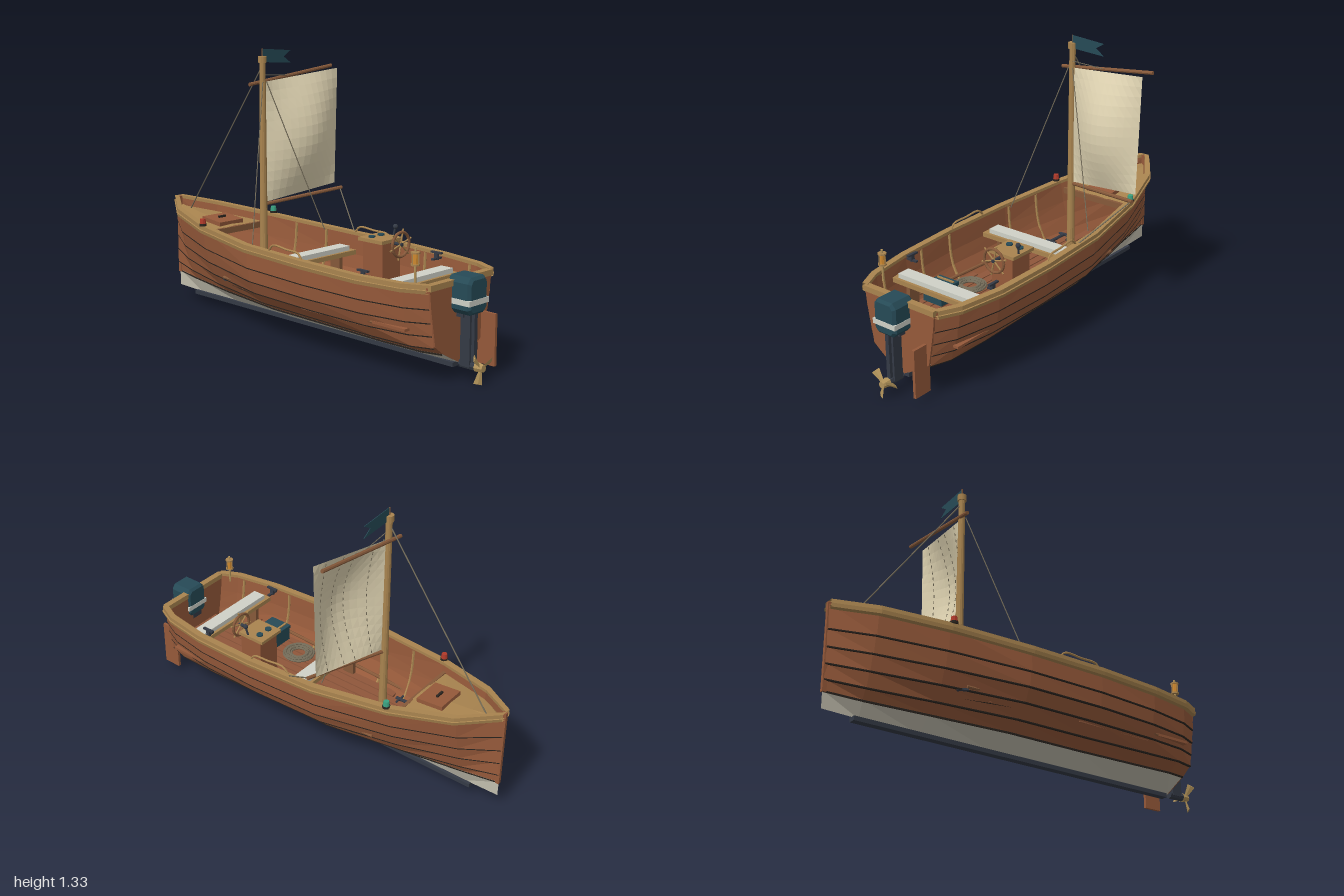
import * as THREE from 'three';

const mat = (color) => new THREE.MeshStandardMaterial({ color, side: THREE.DoubleSide, flatShading: true });
const M = {
  plank: mat(0x95593a), tan: mat(0xa9844f), dark: mat(0x2b2520), teal: mat(0x264a56), sail: mat(0xe2d6b4),
  rope: mat(0x746c59), white: mat(0xcfd1c7), paint: mat(0xc2beae), iron: mat(0x343a45), brass: mat(0xb2935a),
  red: mat(0xb03a2a), green: mat(0x3aa080), amber: mat(0xd08a30), spar: mat(0x86593a), floor: mat(0x8f573b),
};
const V = (x, y, z) => new THREE.Vector3(x, y, z);

// Hull stations: z, half beam, sheer height, keel height
const stations = [
  [-0.99, 0.008, 0.53, 0.068], [-0.82, 0.128, 0.5, 0.063], [-0.53, 0.22, 0.47, 0.06], [-0.15, 0.28, 0.445, 0.058],
  [0.23, 0.295, 0.435, 0.058], [0.55, 0.285, 0.427, 0.06], [0.77, 0.25, 0.425, 0.064], [0.87, 0.203, 0.425, 0.068],
];
const levelY = [0, 0.17, 0.28, 0.43, 0.59, 0.76, 1];
const midX = [0, 0.4, 0.61, 0.81, 0.93, 0.98, 1];
const sternX = [0, 0.55, 0.8, 0.85, 0.9, 0.95, 1];
const bowX = [0, 0.14, 0.29, 0.47, 0.65, 0.83, 1];
const clamp = THREE.MathUtils.clamp, lerp = THREE.MathUtils.lerp;

function at(z) {
  let i = 0;
  while (i < stations.length - 2 && z > stations[i + 1][0]) i++;
  const a = stations[i], b = stations[i + 1], f = clamp((z - a[0]) / (b[0] - a[0]), 0, 1);
  return a.map((v, k) => lerp(v, b[k], f));
}
function section(z) {
  const [, w, s, k] = at(z), fb = clamp((-z - 0.3) / 0.7, 0, 1), fs = clamp((z - 0.4) / 0.47, 0, 1);
  return levelY.map((t, i) => V(w * lerp(lerp(midX[i], bowX[i], fb), sternX[i], fs), lerp(k, s, t), z));
}
function halfWidth(z, y) {
  const p = section(z);
  let i = 0;
  while (i < 5 && y > p[i + 1].y) i++;
  return lerp(p[i].x, p[i + 1].x, clamp((y - p[i].y) / (p[i + 1].y - p[i].y), 0, 1));
}

export function createModel() {
  const model = new THREE.Group(), boat = new THREE.Group();
  boat.name = 'boat';
  boat.position.x = -0.07;
  model.add(boat);

  const add = (name, geo, m, x = 0, y = 0, z = 0) => {
    const mesh = new THREE.Mesh(geo, m);
    mesh.name = name;
    mesh.position.set(x, y, z);
    boat.add(mesh);
    return mesh;
  };
  const box = (name, m, w, h, d, x, y, z) => add(name, new THREE.BoxGeometry(w, h, d), m, x, y, z);
  const cyl = (name, m, r0, r1, h, x, y, z, n = 10) => add(name, new THREE.CylinderGeometry(r0, r1, h, n), m, x, y, z);
  const rod = (name, m, a, b, r, r2 = r) => {
    const d = b.clone().sub(a), c = a.clone().add(b).multiplyScalar(0.5);
    const o = cyl(name, m, r2, r, d.length(), c.x, c.y, c.z, 8);
    o.quaternion.setFromUnitVectors(V(0, 1, 0), d.normalize());
    return o;
  };
  const tube = (name, m, pts, r, n = 16) => add(name, new THREE.TubeGeometry(new THREE.CatmullRomCurve3(pts), n, r, 6), m);
  // Surface lofted through rows of points
  const loft = (name, m, rows) => {
    const n = rows[0].length, idx = [], g = new THREE.BufferGeometry();
    g.setFromPoints(rows.flat());
    for (let i = 0; i < rows.length - 1; i++) for (let j = 0; j < n - 1; j++) {
      const a = i * n + j, b = a + n;
      idx.push(a, b, a + 1, b, b + 1, a + 1);
    }
    g.setIndex(idx);
    g.computeVertexNormals();
    return add(name, g, m);
  };

  const secs = stations.map((s) => section(s[0]));
  for (const s of [1, -1]) {
    const flip = (p, dx = 0, dy = 0) => V(s * Math.max(0, p.x + dx), p.y + dy, p.z);
    // Lapped planks with a dark seam under each lap
    for (let k = 0; k < 6; k++) {
      const o = k > 1 ? 0.007 : 0;
      loft(k ? 'hullPlank' : 'bottomPaint', k ? M.plank : M.paint, secs.map((p) => [flip(p[k], o, -o * 0.4), flip(p[k + 1])]));
      if (k) loft('plankSeam', M.dark, secs.map((p) => [flip(p[k], o + 0.001, -o * 0.4), flip(p[k], o, -0.008), flip(p[k], -0.004, -0.008)]));
    }
    loft('innerSkin', M.plank, secs.map((p) => p.slice(1).map((q) => flip(q, -0.014))));
    // Gunwale with a rub rail beneath
    const rail = [[-0.014, -0.012], [-0.014, 0.015], [0.018, 0.015], [0.018, -0.014], [-0.014, -0.012]];
    loft('gunwale', M.tan, secs.map((p) => rail.map(([x, y]) => flip(p[6], x, y))));
    loft('rubRail', M.tan, secs.map((p) => [[0.016, -0.004], [0.024, -0.006], [0.02, -0.022], [-0.002, -0.024]].map(([x, y]) => flip(p[6], x, y))));
    // Ribs
    for (const z of [-0.35, -0.17, 0.25, 0.45, 0.73])
      tube('rib', M.tan, section(z).slice(2).map((q) => flip(q, -0.018)), 0.007, 8);
    // Oars stowed along the planking
    const oarX = s * (halfWidth(0.1, 0.238) - 0.004);
    rod('oarShaft', M.spar, V(s * (halfWidth(-0.42, 0.24) + 0.005), 0.24, -0.42), V(oarX, 0.238, 0.6), 0.008);
    box('oarBlade', M.plank, 0.05, 0.012, 0.18, s * (halfWidth(0.68, 0.238) - 0.006), 0.238, 0.69);
    // Grab rail, cleat and side light
    const gx = (z) => s * (at(z)[1] - 0.005), gy = (z) => at(z)[2] + 0.012;
    tube('grabRail', M.tan, [V(gx(0.22), gy(0.22), 0.22), V(gx(0.2), 0.472, 0.2), V(gx(0.12), 0.478, 0.12), V(gx(0.04), 0.482, 0.03), V(gx(0), gy(0), 0.0)], 0.005);
    box('cleatPost', M.iron, 0.012, 0.03, 0.02, s * 0.24, 0.43, 0.54);
    box('cleatBar', M.iron, 0.014, 0.008, 0.06, s * 0.24, 0.448, 0.54);
    box('cleatBracket', M.iron, 0.07, 0.008, 0.014, s * 0.245, 0.42, 0.54);
    cyl('sideLightBase', M.dark, 0.018, 0.018, 0.012, s * 0.23, 0.488, -0.52);
    cyl('sideLight', s > 0 ? M.green : M.red, 0.013, 0.016, 0.024, s * 0.23, 0.505, -0.52);
    // Shroud, passing ahead of the sail
    rod('shroud', M.rope, V(s * 0.012, 1.17, -0.325), V(s * 0.235, 0.45, -0.16), 0.0025);
  }

  // Transom, stem and keel
  const last = secs[7];
  const outline = [...last, ...last.slice(1).reverse().map((p) => V(-p.x, p.y, 0))].map((p) => new THREE.Vector2(p.x, p.y));
  add('transom', new THREE.ExtrudeGeometry(new THREE.Shape(outline), { depth: 0.022, bevelEnabled: false }), M.plank, 0, 0, 0.852);
  box('transomRail', M.tan, 0.41, 0.026, 0.032, 0, 0.424, 0.866);
  box('stem', M.plank, 0.016, 0.4, 0.02, 0, 0.34, -0.985);
  box('keel', M.iron, 0.034, 0.02, 1.7, 0, 0.056, 0);

  // Floor boards over a dark bilge
  const fy = 0.21, zs = [];
  for (let z = -0.6; z <= 0.851; z += 0.05) zs.push(z);
  loft('bilge', M.dark, zs.map((z) => [V(-halfWidth(z, fy) + 0.01, fy - 0.012, z), V(halfWidth(z, fy) - 0.01, fy - 0.012, z)]));
  for (let i = -5; i < 5; i++) {
    const x = (i + 0.5) * 0.046, ok = zs.filter((z) => halfWidth(z, fy) > Math.abs(x) + 0.018);
    if (ok.length > 1) box('floorBoard', M.floor, 0.04, 0.014, ok.at(-1) - ok[0], x, fy, (ok.at(-1) + ok[0]) / 2);
  }

  // Foredeck with hatch, sunk below the gunwale
  loft('foredeck', M.tan, [-0.96, -0.82, -0.68, -0.55].map((z) => {
    const [, w, h] = at(z);
    return [V(-w + 0.012, h - 0.034, z), V(0, h - 0.024, z), V(w - 0.012, h - 0.034, z)];
  }));
  box('deckBeam', M.spar, 0.41, 0.03, 0.016, 0, 0.43, -0.548);
  box('hatch', M.plank, 0.15, 0.02, 0.135, 0, 0.464, -0.645).rotation.x = 0.1;
  box('hatchHandle', M.dark, 0.045, 0.01, 0.01, 0, 0.479, -0.65);

  // Benches with cushions
  for (const z of [-0.015, 0.615]) {
    box('bench', M.tan, 0.51, 0.022, 0.095, 0, 0.365, z);
    box('benchCushion', M.white, 0.45, 0.022, 0.066, 0, 0.387, z);
    for (const x of [-0.17, 0.17]) box('benchLeg', M.spar, 0.02, 0.15, 0.06, x, 0.285, z);
  }

  // Console, gauges, lever and wheel
  box('console', M.plank, 0.12, 0.275, 0.12, 0.14, 0.345, 0.3);
  box('consoleTop', M.tan, 0.14, 0.016, 0.145, 0.14, 0.488, 0.292);
  for (const x of [0.108, 0.17]) cyl('gauge', M.teal, 0.016, 0.016, 0.008, x, 0.499, 0.268, 14);
  rod('throttleLever', M.iron, V(0.2, 0.49, 0.315), V(0.205, 0.537, 0.325), 0.005);
  add('throttleKnob', new THREE.SphereGeometry(0.012, 10, 8), M.iron, 0.205, 0.54, 0.325);
  rod('wheelShaft', M.iron, V(0.14, 0.48, 0.35), V(0.14, 0.48, 0.425), 0.008);
  add('steeringWheel', new THREE.TorusGeometry(0.056, 0.007, 8, 24), M.spar, 0.14, 0.48, 0.415);
  for (let i = 0; i < 6; i++) {
    const a = i * Math.PI / 3 + 0.3, c = Math.cos(a), s = Math.sin(a);
    rod('wheelSpoke', M.tan, V(0.14, 0.48, 0.415), V(0.14 + c * 0.073, 0.48 + s * 0.073, 0.415), 0.004);
  }

  // Rope coil, storage box and anchor
  const top = fy + 0.007;
  for (let i = 0; i < 5; i++)
    add('ropeCoil', new THREE.TorusGeometry(0.038 + i * 0.0095, 0.006, 6, 28), M.rope, -0.13, top + 0.008 + (i % 2) * 0.006, 0.275).rotation.x = Math.PI / 2;
  box('storageBox', M.teal, 0.11, 0.07, 0.115, -0.15, top + 0.035, 0.455);
  box('storageBoxLid', M.teal, 0.118, 0.016, 0.122, -0.15, top + 0.075, 0.455);
  box('storageBoxHandle', M.tan, 0.1, 0.006, 0.01, -0.15, top + 0.086, 0.42);
  const ay = top + 0.012;
  rod('anchorShank', M.iron, V(-0.13, ay, -0.46), V(-0.13, ay, -0.33), 0.008);
  tube('anchorFlukes', M.iron, [[-0.055, -0.41], [-0.035, -0.445], [0, -0.46], [0.035, -0.445], [0.055, -0.41]].map(([x, z]) => V(x - 0.13, ay, z)), 0.008);
  rod('anchorStock', M.iron, V(-0.16, ay, -0.35), V(-0.1, ay, -0.35), 0.005);

  // Mast, spars and flag
  const mz = -0.34;
  cyl('mast', M.tan, 0.015, 0.02, 1.08, 0, 0.73, mz, 12);
  cyl('mastCap', M.tan, 0.021, 0.021, 0.03, 0, 1.275, mz, 12);
  cyl('mastStep', M.spar, 0.035, 0.04, 0.03, 0, top + 0.01, mz, 12);
  rod('flagStaff', M.spar, V(0, 1.28, mz), V(0, 1.325, mz), 0.003);
  const flag = new THREE.Shape([[0, 1.262], [0.18, 1.252], [0.135, 1.283], [0.18, 1.311], [0, 1.325]].map((p) => new THREE.Vector2(...p)));
  add('flag', new THREE.ExtrudeGeometry(flag, { depth: 0.003, bevelEnabled: false }), M.teal, 0, 0, mz);
  rod('yard', M.spar, V(-0.07, 1.16, -0.355), V(0.455, 1.224, -0.335), 0.009);
  rod('boom', M.spar, V(0.005, 0.582, mz), V(0.43, 0.625, -0.235), 0.009);

  // Billowing sail with stitched seams on its back
  const sailPoint = (u, v, o = 0) => V(
    lerp(0.015, lerp(0.42, 0.438, v), u),
    lerp(lerp(0.593, 0.645, u), lerp(1.17, 1.216, u), v),
    -0.335 + 0.06 * u + 0.077 * Math.sin(Math.PI * v) * Math.sin(Math.PI * u) + o);
  const rows = [];
  for (let i = 0; i <= 12; i++) rows.push(Array.from({ length: 13 }, (_, j) => sailPoint(j / 12, i / 12)));
  loft('sail', M.sail, rows);
  for (const j of [2, 5, 7, 10]) for (let i = 0; i < 18; i++)
    rod('sailStitch', M.rope, sailPoint(j / 12, (i + 0.25) / 18, -0.004), sailPoint(j / 12, (i + 0.7) / 18, -0.004), 0.0018);

  // Rigging lines
  rod('forestay', M.rope, V(0, 1.24, -0.345), V(0, 0.48, -0.9), 0.003);
  rod('halyard', M.rope, V(0, 1.203, -0.33), V(0.18, 1.192, -0.34), 0.002);
  rod('sheet', M.rope, V(0.42, 0.622, -0.237), V(0.282, 0.445, 0), 0.003);

  // Stern lantern
  cyl('lanternPost', M.brass, 0.005, 0.005, 0.15, -0.185, 0.5, 0.78);
  cyl('lanternGlass', M.amber, 0.015, 0.015, 0.045, -0.185, 0.53, 0.78);
  for (const y of [0.505, 0.555]) cyl('lanternPlate', M.tan, 0.02, 0.02, 0.007, -0.185, y, 0.78);
  for (const a of [0, 1, 2, 3]) cyl('lanternBar', M.tan, 0.003, 0.003, 0.05, -0.185 + 0.018 * Math.cos(a * Math.PI / 2), 0.53, 0.78 + 0.018 * Math.sin(a * Math.PI / 2), 6);

  // Outboard motor with chamfered cowl
  const c = 0.02, w = 0.062, cowl = new THREE.Shape([[-w + c, 0.295], [w - c, 0.295], [w, 0.317], [w, 0.43], [w - c, 0.455], [-w + c, 0.455], [-w, 0.43], [-w, 0.317]].map((p) => new THREE.Vector2(...p)));
  add('motorCowl', new THREE.ExtrudeGeometry(cowl, { depth: 0.1, bevelThickness: 0.012, bevelSize: 0.012, bevelOffset: -0.012, bevelSegments: 1 }), M.teal, 0, 0, 0.855);
  box('motorStripe', M.white, 0.128, 0.024, 0.128, 0, 0.349, 0.905);
  box('motorClamp', M.iron, 0.06, 0.05, 0.06, 0, 0.3, 0.88);
  box('motorLeg', M.iron, 0.042, 0.25, 0.05, 0, 0.19, 0.915);
  box('motorLegFairing', M.iron, 0.02, 0.25, 0.07, 0, 0.19, 0.92);
  rod('gearCase', M.iron, V(0, 0.07, 0.88), V(0, 0.07, 0.965), 0.02);
  rod('propellerHub', M.brass, V(0, 0.07, 0.962), V(0, 0.07, 1), 0.022, 0.016);
  for (let i = 0; i < 3; i++) {
    const g = new THREE.CylinderGeometry(0.02, 0.008, 0.055, 4).scale(1, 1, 0.18).rotateY(0.5).translate(0, 0.042, 0);
    add('propellerBlade', g, M.brass, 0, 0.07, 0.985).rotation.z = 0.75 + i * Math.PI * 2 / 3;
  }

  // Rudder
  box('rudder', M.plank, 0.014, 0.23, 0.092, 0.145, 0.15, 0.904);

  return model;
}
